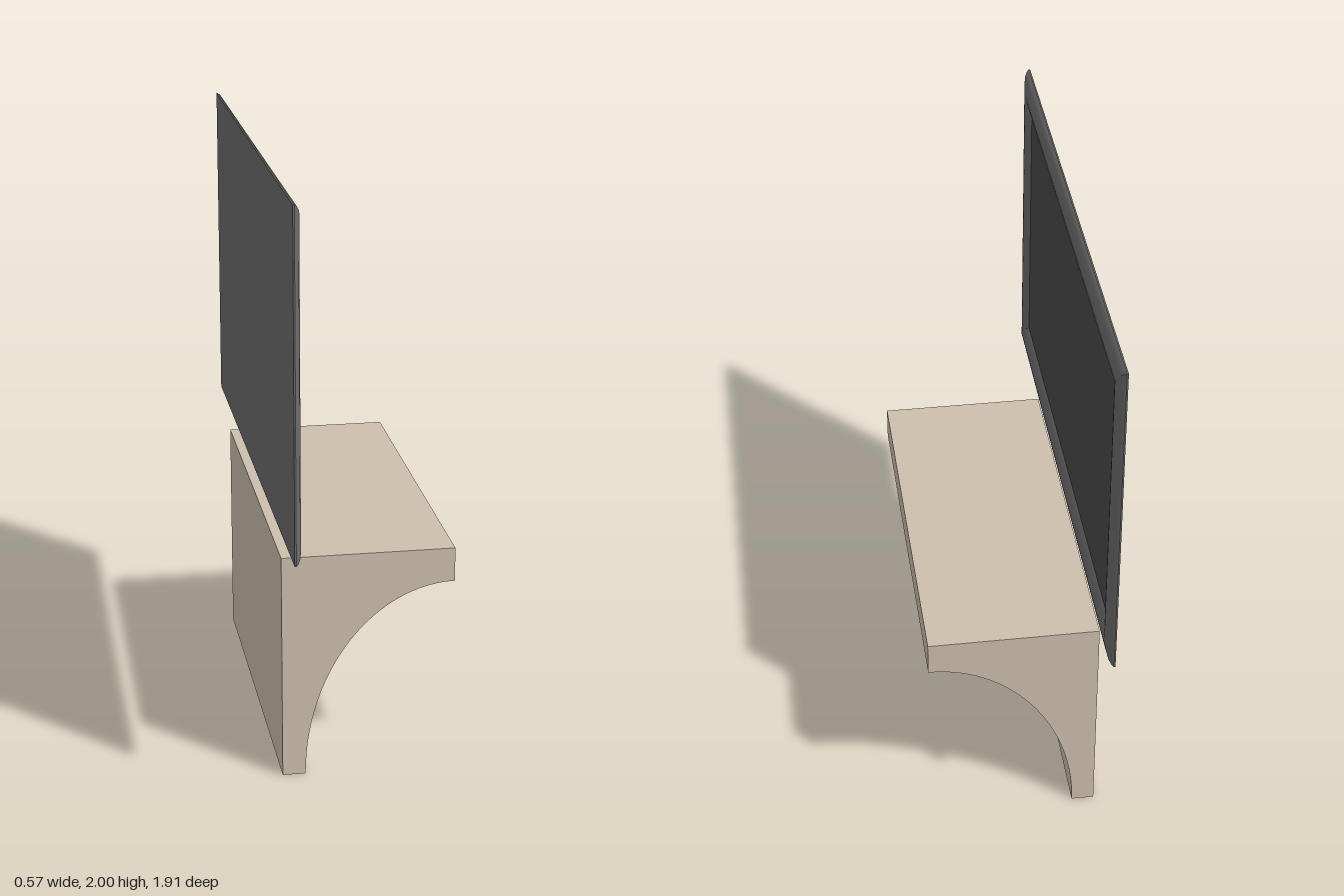
import * as THREE from 'three';
import { toCreasedNormals } from 'three/addons/utils/BufferGeometryUtils.js';

const material = (color) => new THREE.MeshStandardMaterial({ color });

const BACK = -0.287;   // wall plane
const MID_Y = 1.43;    // height of the screen's centre
const HALF_Z = 0.957, HALF_Y = 0.57;

function addMesh(parent, name, geometry, mat) {
  const mesh = new THREE.Mesh(geometry, mat);
  mesh.name = name;
  parent.add(mesh);
  return mesh;
}

// One mitred side of the frame: the profile [inset, x] swept between two corners [sz, sy]
function frameSide(profile, from, to) {
  const positions = [], index = [];
  profile.forEach(([inset, x], i) => {
    for (const [sz, sy] of [from, to]) {
      positions.push(x, MID_Y + sy * (HALF_Y - inset), sz * (HALF_Z - inset));
    }
    if (i > 0) {
      const a = 2 * i - 2;
      index.push(a, a + 1, a + 3, a, a + 3, a + 2);
    }
  });
  const geometry = new THREE.BufferGeometry();
  geometry.setAttribute('position', new THREE.Float32BufferAttribute(positions, 3));
  geometry.setIndex(index);
  geometry.computeVertexNormals();
  return geometry;
}

function createScreen() {
  const group = new THREE.Group();
  group.name = 'wallScreen';
  const frameMat = material(0x6c6c6c);

  // Thin back panel
  const back = addMesh(group, 'backPanel', new THREE.BoxGeometry(0.005, 2 * HALF_Y, 2 * HALF_Z), frameMat);
  back.position.set(BACK + 0.0025, MID_Y, 0);

  // Rounded picture-frame moulding
  const profile = [
    [0, -0.282], [0.006, -0.274], [0.018, -0.267], [0.035, -0.262], [0.05, -0.26],
    [0.065, -0.26], [0.085, -0.263], [0.1, -0.269], [0.112, -0.278],
  ];
  const corners = [[1, -1], [-1, -1], [-1, 1], [1, 1]];
  ['frameBottom', 'frameRight', 'frameTop', 'frameLeft'].forEach((name, i) => {
    addMesh(group, name, frameSide(profile, corners[i], corners[(i + 1) % 4]), frameMat);
  });

  // Recessed display
  const display = addMesh(group, 'display',
    new THREE.BoxGeometry(0.006, 2 * (HALF_Y - 0.111), 2 * (HALF_Z - 0.111)), material(0x4a4a4a));
  display.position.set(-0.281, MID_Y, 0);
  return group;
}

// Console shelf: a side profile with an elliptical cove, extruded along z
function createConsole() {
  const front = 0.287, foot = -0.21, lip = 0.657, top = 0.772;
  const shape = new THREE.Shape();
  shape.moveTo(BACK, 0);
  shape.lineTo(foot, 0);
  shape.absellipse(front, 0, front - foot, lip, Math.PI, Math.PI / 2, true);
  shape.lineTo(front, top);
  shape.lineTo(BACK, top);
  shape.closePath();
  const geometry = new THREE.ExtrudeGeometry(shape, { depth: 1.34, bevelEnabled: false, curveSegments: 40 });
  geometry.translate(0, 0, -0.682);
  const mesh = new THREE.Mesh(toCreasedNormals(geometry, 0.5), material(0xcdbfad));
  mesh.name = 'consoleShelf';
  return mesh;
}

export function createModel() {
  const model = new THREE.Group();
  model.name = 'screenAndConsole';
  model.add(createScreen(), createConsole());
  return model;
}
